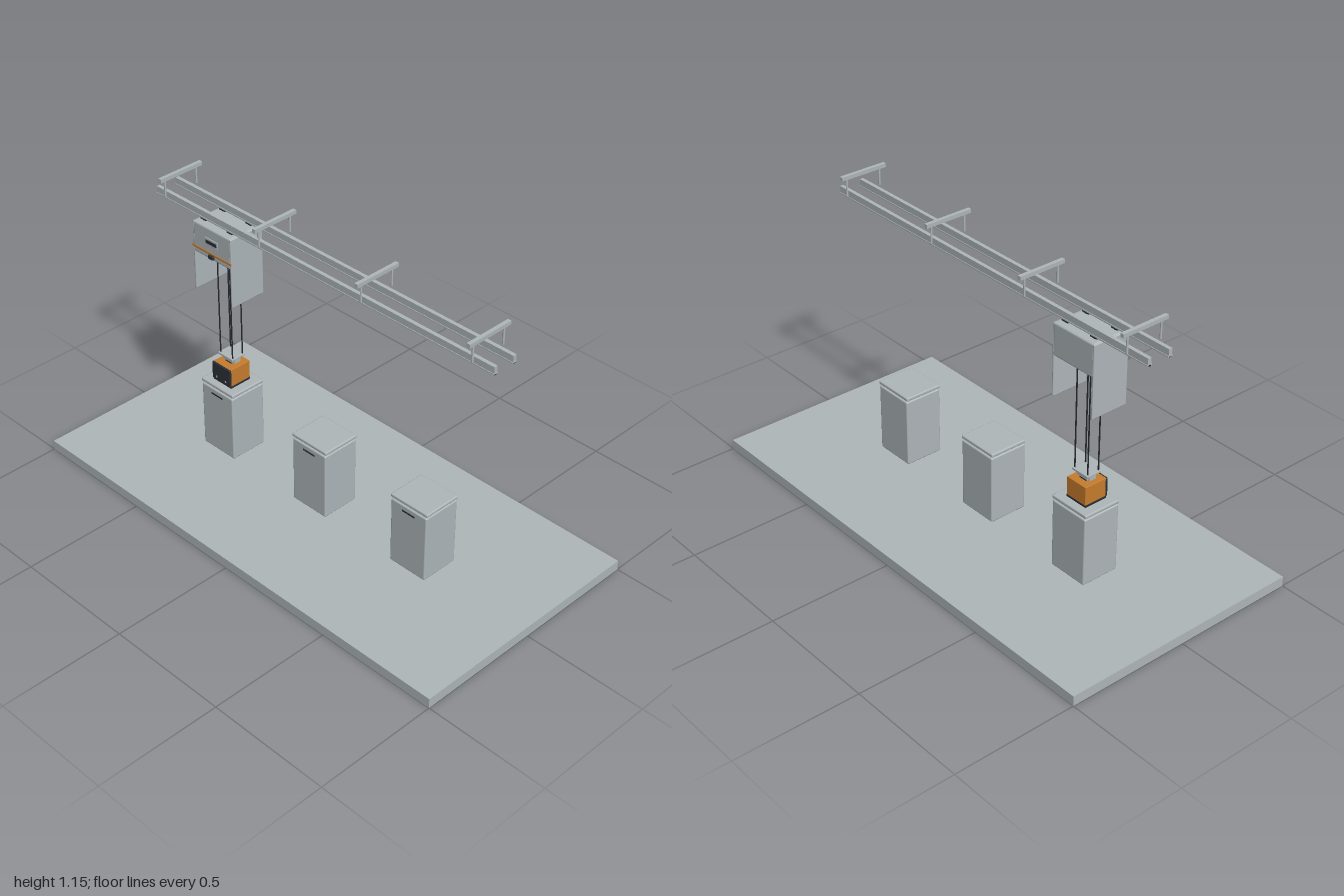
import * as THREE from 'three';
import { RoundedBoxGeometry } from 'three/addons/geometries/RoundedBoxGeometry.js';

export function createModel() {
  const paint = (name, color) => {
    const m = new THREE.MeshStandardMaterial({ color });
    m.name = name;
    return m;
  };
  const grey = paint('light grey', 0xafb7ba);
  const dark = paint('charcoal', 0x2b3038);
  const orange = paint('orange', 0xc87d2e);

  const root = new THREE.Group();
  root.name = 'overheadHoistLine';

  const group = (name, x = 0) => {
    const g = new THREE.Group();
    g.name = name;
    g.position.x = x;
    root.add(g);
    return g;
  };
  // Box given by its size, centre x and z, and its lower y; r rounds the edges
  const box = (parent, name, mat, w, h, d, x, y, z, r = 0) => {
    const geo = r ? new RoundedBoxGeometry(w, h, d, 2, r) : new THREE.BoxGeometry(w, h, d);
    const m = new THREE.Mesh(geo, mat);
    m.name = name;
    m.position.set(x, y + h / 2, z);
    parent.add(m);
    return m;
  };
  const rod = (parent, name, mat, r, h, x, y, z) => {
    const m = new THREE.Mesh(new THREE.CylinderGeometry(r, r, h, 16), mat);
    m.name = name;
    m.position.set(x, y + h / 2, z);
    parent.add(m);
    return m;
  };
  const sides = [-1, 1];

  // Floor slab
  box(root, 'floor', grey, 2, 0.04, 1, 0, 0, 0);

  // Three load stations
  for (const x of [-0.5, 0, 0.5]) {
    const s = group('station', x);
    box(s, 'cabinet', grey, 0.17, 0.281, 0.16, 0, 0.041, 0, 0.006);
    box(s, 'lidSpacer', grey, 0.14, 0.008, 0.13, 0, 0.32, 0);
    box(s, 'lid', grey, 0.176, 0.015, 0.16, 0, 0.327, 0, 0.005);
    box(s, 'slot', dark, 0.06, 0.006, 0.004, 0, 0.296, 0.08);
  }

  // Twin rails with dark running strips
  const track = group('track');
  for (const s of sides) {
    box(track, 'rail', grey, 1.65, 0.026, 0.015, 0, 1.044, s * 0.046);
    box(track, 'railStrip', dark, 1.65, 0.006, 0.011, 0, 1.038, s * 0.046);
    box(track, 'railEdge', grey, 1.65, 0.005, 0.02, 0, 1.04, s * 0.046);
  }
  // Ceiling hangers
  for (const x of [-0.75, -0.25, 0.25, 0.75]) {
    box(track, 'crossbar', grey, 0.015, 0.015, 0.2, x, 1.131, 0);
    for (const s of sides) rod(track, 'hangerRod', grey, 0.004, 0.068, x, 1.064, s * 0.075);
  }

  // Hoist vehicle
  const v = group('vehicle', -0.5);
  box(v, 'body', grey, 0.2, 0.13, 0.156, 0, 0.9, 0, 0.008);
  for (const s of sides) {
    box(v, 'sidePlate', grey, 0.009, 0.288, 0.156, s * 0.098, 0.74, 0, 0.004);
    box(v, 'stripe', orange, 0.206, 0.008, 0.003, 0, 0.922, 0.079);
    for (const z of sides) {
      rod(v, 'wheelPost', dark, 0.006, 0.012, s * 0.07, 1.028, z * 0.046);
      box(v, 'wheel', dark, 0.03, 0.007, 0.016, s * 0.07, 1.033, z * 0.046);
    }
  }
  box(v, 'displayFrame', grey, 0.07, 0.03, 0.004, 0, 0.958, 0.079, 0.0015);
  box(v, 'display', dark, 0.056, 0.013, 0.004, 0, 0.967, 0.081);
  box(v, 'sensor', dark, 0.026, 0.016, 0.012, 0, 0.908, 0.082, 0.003);
  box(v, 'drumPlate', dark, 0.1, 0.01, 0.08, 0, 0.89, 0);

  // Hoist belts and gripper
  const h = group('hoist', -0.5);
  for (const x of sides) for (const z of sides) {
    box(h, 'belt', dark, 0.006, 0.435, 0.002, x * 0.033, 0.457, z * 0.025);
  }
  box(h, 'gripperPlate', grey, 0.08, 0.009, 0.066, 0, 0.452, 0, 0.002);
  box(h, 'gripperBody', grey, 0.05, 0.02, 0.04, 0, 0.433, 0);
  for (const s of sides) box(h, 'gripperFinger', grey, 0.006, 0.022, 0.03, s * 0.03, 0.431, 0);

  // Wafer carrier
  const c = group('carrier', -0.5);
  box(c, 'shell', orange, 0.096, 0.076, 0.098, 0, 0.349, 0.002, 0.002);
  box(c, 'bottomPlate', dark, 0.098, 0.008, 0.098, 0, 0.342, 0.002);
  box(c, 'door', dark, 0.1, 0.076, 0.01, 0, 0.349, 0.052, 0.004);
  box(c, 'topFlange', dark, 0.034, 0.009, 0.034, 0, 0.425, 0);
  for (const s of sides) {
    const latch = rod(c, 'latch', grey, 0.004, 0.002, s * 0.025, 0.364, 0.0572);
    latch.rotation.x = Math.PI / 2;
  }
  return root;
}
